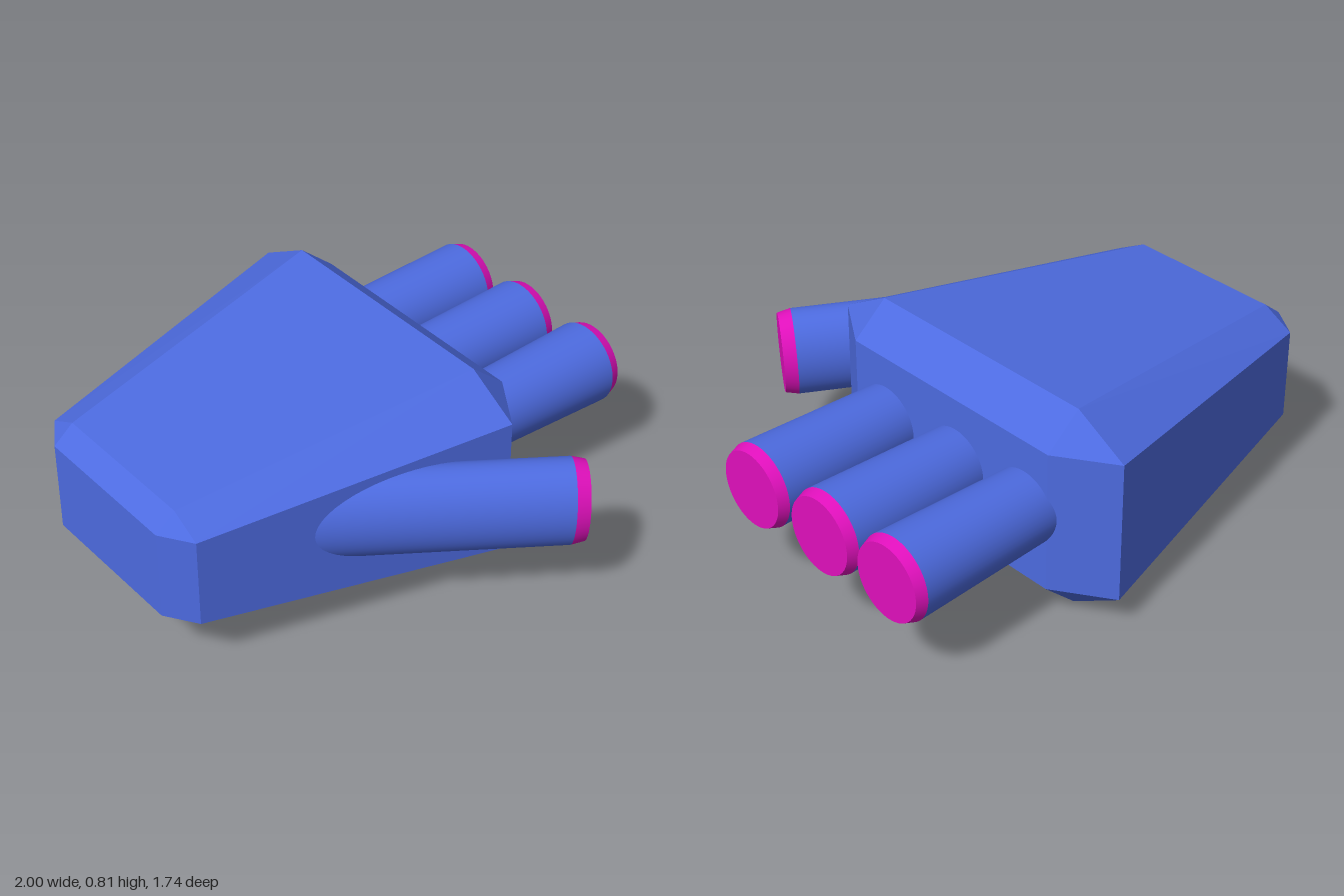
import * as THREE from 'three';
import { ConvexGeometry } from 'three/addons/geometries/ConvexGeometry.js';

const blue = new THREE.MeshStandardMaterial({ color: 0x4d6be0 });
blue.name = 'blue';
const magenta = new THREE.MeshStandardMaterial({ color: 0xe010bc });
magenta.name = 'magenta';

// Four corners of a rectangle in the plane at x
function rect(x, y0, y1, z0, z1) {
  return [[y0, z0], [y0, z1], [y1, z0], [y1, z1]].map(([y, z]) => new THREE.Vector3(x, y, z));
}

// Tapered block with bevelled edges: small wrist end at -x, wide knuckle end at +x
function makePalm() {
  const points = [
    ...rect(-1, 0.23, 0.59, -0.48, 0.14),
    ...rect(-0.92, 0.165, 0.655, -0.48, 0.14),
    ...rect(-0.92, 0.23, 0.59, -0.605, 0.26),
    ...rect(0.24, 0, 0.81, -0.66, 0.32),
    ...rect(0.24, 0.13, 0.69, -0.875, 0.53),
    ...rect(0.38, 0.13, 0.69, -0.66, 0.32),
  ];
  const palm = new THREE.Mesh(new ConvexGeometry(points), blue);
  palm.name = 'palm';
  return palm;
}

// Round shaft ending in a bevelled tip; the group's origin is the centre of the tip face
function makeDigit(name, { tip, yaw = 0, tilt = 0, length, bevel, height, width, base, cap }) {
  const digit = new THREE.Group();
  digit.name = name;

  const shaftGeo = new THREE.CylinderGeometry(1, base, length - bevel, 48);
  shaftGeo.scale(height, 1, width);
  const shaft = new THREE.Mesh(shaftGeo, blue);
  shaft.name = name + 'Shaft';
  shaft.position.y = -(length + bevel) / 2;

  const tipGeo = new THREE.CylinderGeometry(cap, 1, bevel, 48);
  tipGeo.scale(height, 1, width);
  const end = new THREE.Mesh(tipGeo, magenta);
  end.name = name + 'Tip';
  end.position.y = -bevel / 2;

  digit.add(shaft, end);
  digit.position.set(...tip);
  digit.rotation.set(0, -yaw, -Math.PI / 2 - tilt, 'YXZ');
  return digit;
}

export function createModel() {
  const hand = new THREE.Group();
  hand.name = 'hand';
  hand.add(makePalm());

  // Three straight fingers
  [0.157, -0.206, -0.548].forEach((z, i) => {
    hand.add(makeDigit('finger' + (i + 1), {
      tip: [0.995, 0.425, z], length: 0.75, bevel: 0.04,
      height: 0.161, width: 0.159, base: 0.86, cap: 0.91,
    }));
  });

  // Thumb, taller than wide, angled out of the front side
  hand.add(makeDigit('thumb', {
    tip: [0.378, 0.433, 0.768], yaw: 0.57, tilt: 0.025, length: 1.05, bevel: 0.05,
    height: 0.173, width: 0.128, base: 1, cap: 0.93,
  }));
  return hand;
}
